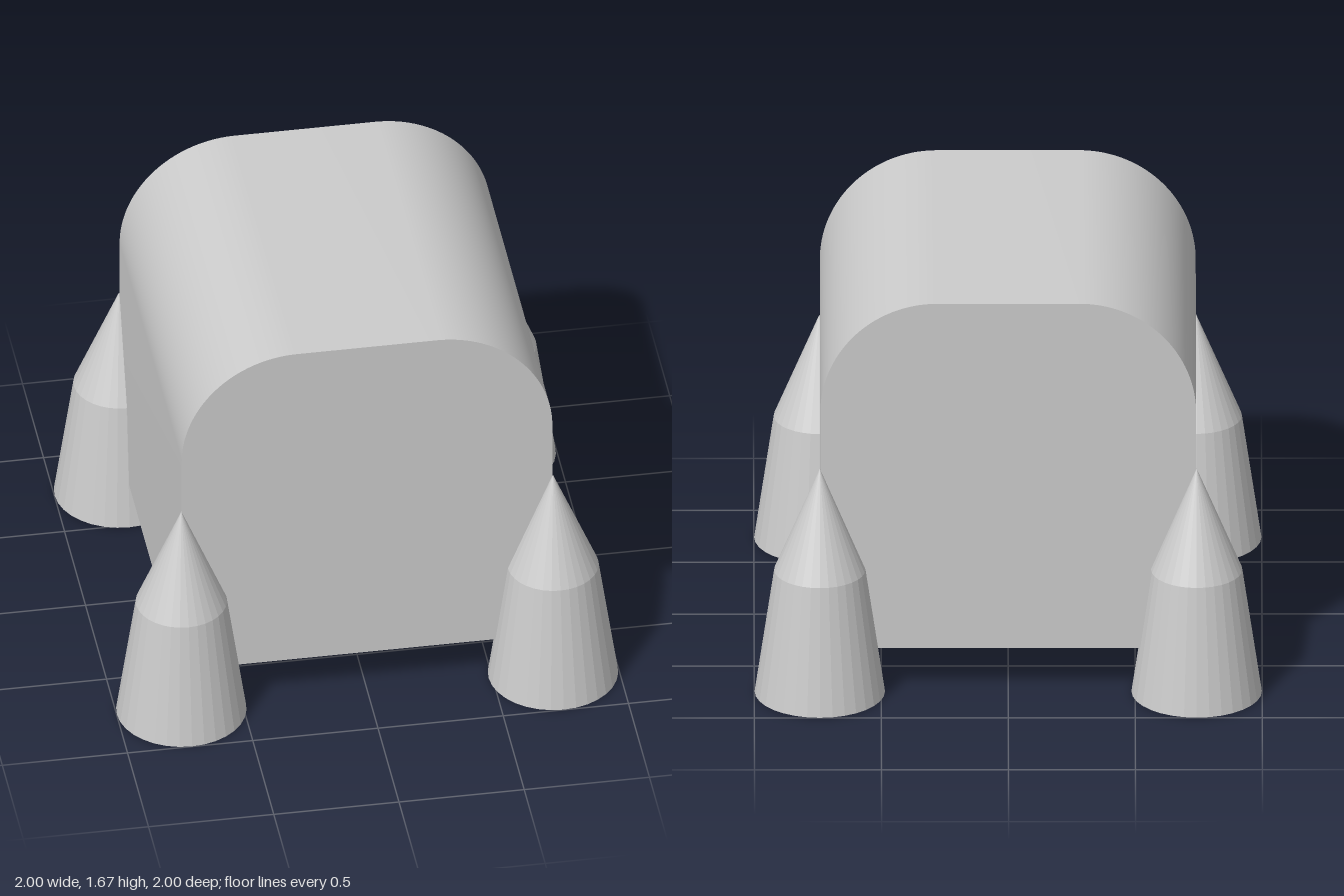
import * as THREE from 'three';
import { toCreasedNormals } from 'three/addons/utils/BufferGeometryUtils.js';

export function createModel() {
  const model = new THREE.Group();
  const half = 0.74, bottom = 0.185, shoulder = 1.2, top = 1.67;
  const rx = 0.46, ry = top - shoulder;

  // Body: square block with a rounded top, extruded front to back
  const profile = new THREE.Shape();
  profile.moveTo(-half, bottom);
  profile.lineTo(half, bottom);
  profile.lineTo(half, shoulder);
  profile.absellipse(half - rx, shoulder, rx, ry, 0, Math.PI / 2, false, 0);
  profile.lineTo(-half + rx, top);
  profile.absellipse(-half + rx, shoulder, rx, ry, Math.PI / 2, Math.PI, false, 0);
  profile.closePath();
  const bodyGeometry = new THREE.ExtrudeGeometry(profile, {
    depth: 2 * half, bevelEnabled: false, curveSegments: 20,
  });
  bodyGeometry.translate(0, 0, -half);
  const body = new THREE.Mesh(
    toCreasedNormals(bodyGeometry, Math.PI / 6),
    new THREE.MeshStandardMaterial({ color: 0xcccccc })
  );
  body.name = 'body';
  model.add(body);

  // Corner boosters: recessed nozzle, tapered barrel and pointed nose
  const outline = [[0, 0.15], [0.145, 0.15], [0.257, 0], [0.18, 0.525], [0, 0.96]]
    .map(([r, y]) => new THREE.Vector2(r, y));
  const boosterGeometry = new THREE.LatheGeometry(outline, 32);
  const boosterMaterial = new THREE.MeshStandardMaterial({
    color: 0xcccccc, flatShading: true, side: THREE.DoubleSide,
  });
  for (const [sx, side] of [[1, 'Left'], [-1, 'Right']]) {
    for (const [sz, end] of [[1, 'front'], [-1, 'back']]) {
      const booster = new THREE.Mesh(boosterGeometry, boosterMaterial);
      booster.name = `${end}${side}Booster`;
      booster.position.set(sx * 0.742, 0, sz * 0.742);
      model.add(booster);
    }
  }
  return model;
}
